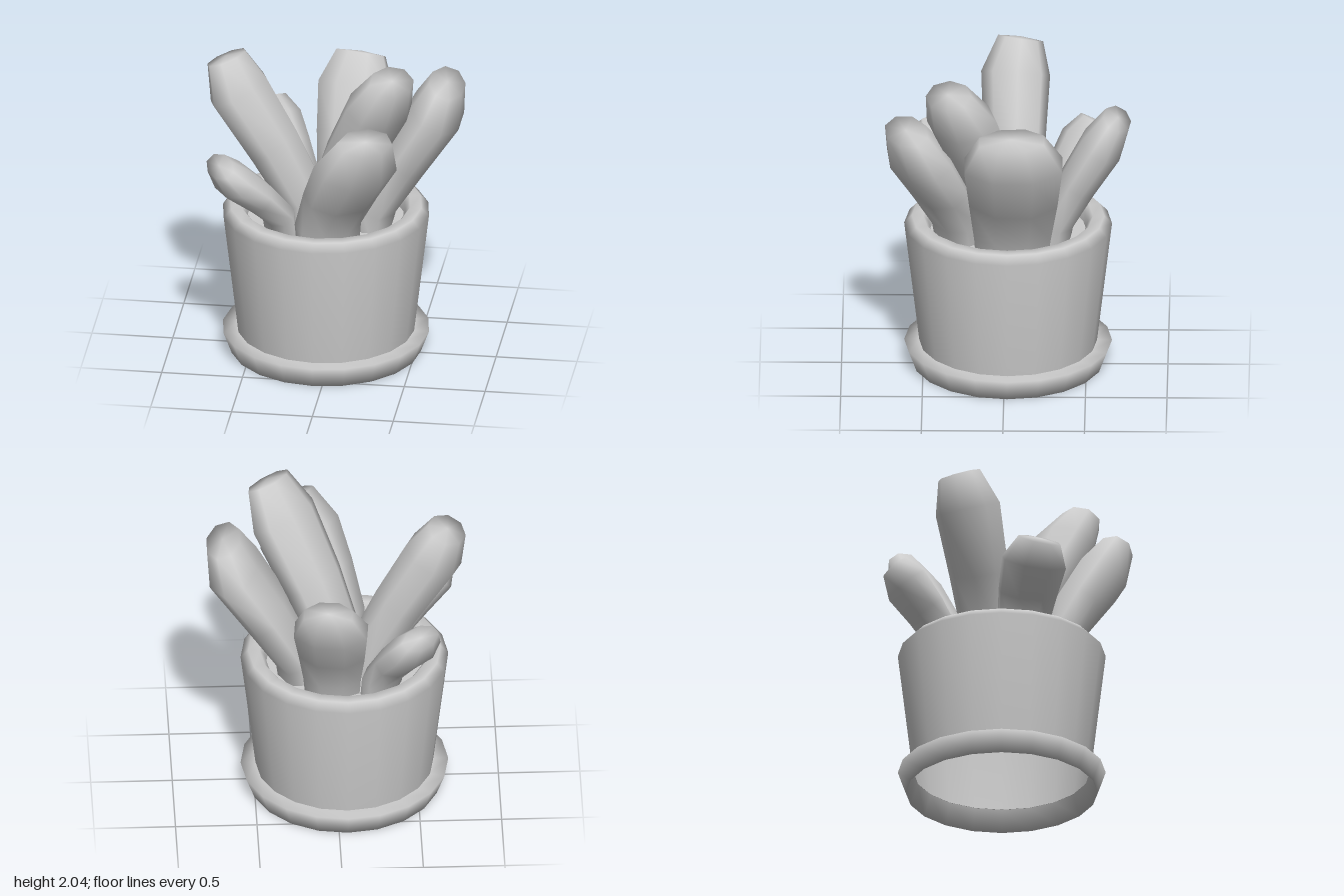
import * as THREE from 'three';

const SIDES = 8;

// Fleshy leaf: octagonal sections swept along a curved spine, ending in a small domed cap
function leafGeometry({ base, ring, tip, wide, width, thick }) {
  const [bx, bz] = base;
  const spine = new THREE.CatmullRomCurve3([
    new THREE.Vector3(bx * 0.9, 0.72, bz * 0.9),
    new THREE.Vector3(bx, 0.98, bz),
    new THREE.Vector3(...ring),
    new THREE.Vector3(...tip),
  ]);
  const sections = [[0, 0.7], [1 / 3, 0.78], [0.5, 0.9], [2 / 3, 1], [1, 0.66]];
  const pos = [], index = [];
  const k = 1 / Math.cos(Math.PI / SIDES);
  for (const [t, s] of sections) {
    const p = spine.getPoint(t), T = spine.getTangent(t);
    const W = new THREE.Vector3(wide[0], 0, wide[1]);
    W.addScaledVector(T, -W.dot(T)).normalize();
    const D = new THREE.Vector3().crossVectors(T, W);
    for (let j = 0; j < SIDES; j++) {
      const a = ((j + 0.5) / SIDES) * Math.PI * 2;
      const v = p.clone()
        .addScaledVector(W, Math.cos(a) * k * s * width / 2)
        .addScaledVector(D, Math.sin(a) * k * s * thick / 2);
      pos.push(v.x, v.y, v.z);
    }
  }
  const end = spine.getPoint(1).addScaledVector(spine.getTangent(1), 0.012);
  pos.push(end.x, end.y, end.z);
  const last = sections.length - 1, tipIndex = sections.length * SIDES;
  for (let j = 0; j < SIDES; j++) {
    const n = (j + 1) % SIDES;
    for (let i = 0; i < last; i++) {
      const a = i * SIDES + j, b = i * SIDES + n;
      index.push(a, b, a + SIDES, b, b + SIDES, a + SIDES);
    }
    index.push(last * SIDES + j, last * SIDES + n, tipIndex);
  }
  const g = new THREE.BufferGeometry();
  g.setAttribute('position', new THREE.Float32BufferAttribute(pos, 3));
  g.setIndex(index);
  g.computeVertexNormals();
  return g;
}

// base: x,z at the rim; ring: centre of the widest section; tip: centre of the cap; wide: x,z of the broad direction
const LEAVES = {
  backLeaf: { base: [0.03, -0.32], ring: [0.05, 1.5, -0.6], tip: [0.07, 1.68, -0.69], wide: [1, 0.12], width: 0.45, thick: 0.26 },
  leftLeaf: { base: [0.25, -0.05], ring: [0.63, 1.62, -0.06], tip: [0.69, 1.81, -0.05], wide: [0, 1], width: 0.6, thick: 0.32 },
  frontLeaf: { base: [0.0, 0.3], ring: [0.2, 1.47, 0.52], tip: [0.27, 1.68, 0.6], wide: [0.8, -0.55], width: 0.52, thick: 0.32 },
  centreLeaf: { base: [-0.02, 0.02], ring: [0.31, 1.77, 0.26], tip: [0.4, 1.98, 0.34], wide: [-0.6, 0.8], width: 0.45, thick: 0.33 },
  rightLeaf: { base: [-0.2, -0.06], ring: [-0.6, 1.68, -0.06], tip: [-0.68, 1.88, -0.09], wide: [-0.4, 0.9], width: 0.4, thick: 0.34 },
  backRightLeaf: { base: [-0.28, -0.32], ring: [-0.46, 1.29, -0.5], tip: [-0.5, 1.4, -0.56], wide: [0.75, -0.65], width: 0.38, thick: 0.22 },
  frontRightLeaf: { base: [-0.32, 0.2], ring: [-0.58, 1.27, 0.36], tip: [-0.65, 1.38, 0.42], wide: [0.55, 0.83], width: 0.39, thick: 0.22 },
};

export function createModel() {
  const model = new THREE.Group();
  const material = new THREE.MeshStandardMaterial({ color: 0xcccccc });
  const openMaterial = new THREE.MeshStandardMaterial({ color: 0xcccccc, side: THREE.DoubleSide });

  const add = (parent, name, geometry, mat) => {
    const mesh = new THREE.Mesh(geometry, mat);
    mesh.name = name;
    parent.add(mesh);
    return mesh;
  };
  const lathe = (points) =>
    new THREE.LatheGeometry(points.map(([r, y]) => new THREE.Vector2(r, y)), 20);

  // Planter, set slightly off the centre of the whole plant
  const planter = new THREE.Group();
  planter.name = 'planter';
  planter.position.set(-0.055, 0, -0.02);
  model.add(planter);
  add(planter, 'pot', lathe([[0.545, 0.135], [0.637, 0.92], [0.59, 0.97], [0.52, 0.97], [0.49, 0.93], [0.48, 0.86]]), openMaterial);
  add(planter, 'saucer', lathe([[0.54, 0.135], [0.587, 0], [0.637, 0.135], [0.54, 0.136]]), openMaterial);
  const soil = add(planter, 'soil', new THREE.CircleGeometry(0.485, 20), openMaterial);
  soil.rotation.x = -Math.PI / 2;
  soil.position.y = 0.87;

  // Rosette of leaves
  const leaves = new THREE.Group();
  leaves.name = 'leaves';
  model.add(leaves);
  for (const [name, spec] of Object.entries(LEAVES)) add(leaves, name, leafGeometry(spec), material);

  return model;
}
